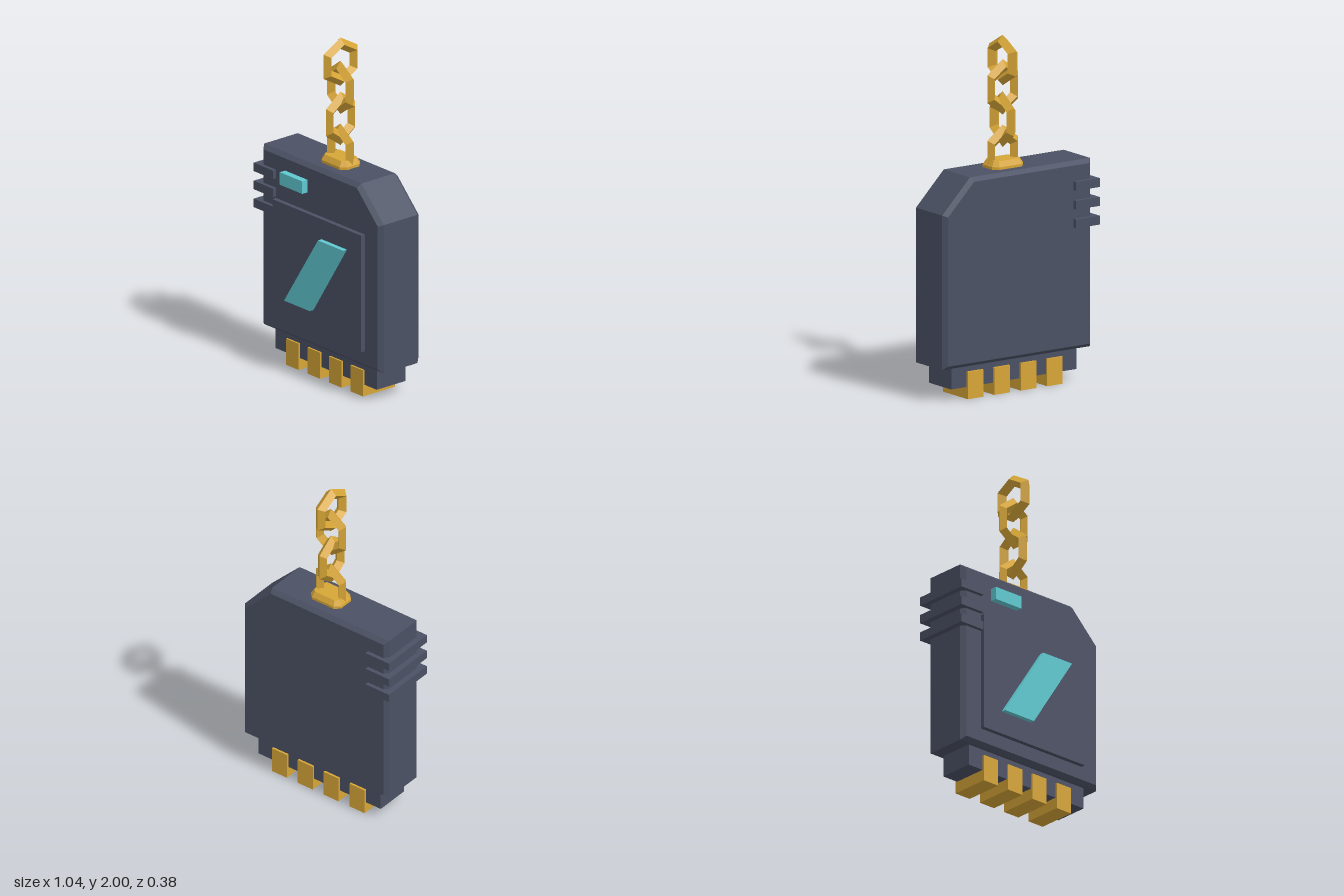
import * as THREE from 'three';

const mat = (name, color) => {
  const m = new THREE.MeshStandardMaterial({ color });
  m.name = name;
  return m;
};

export function createModel() {
  const slate = mat('slate', 0x4b5164);
  const gold = mat('gold', 0xd6a537);
  const teal = mat('teal', 0x5fc8d0);
  const model = new THREE.Group();
  model.name = 'cartridgeCharm';

  const add = (name, geometry, material) => {
    const g = geometry.index ? geometry.toNonIndexed() : geometry;
    g.computeVertexNormals(); // flat facets
    const mesh = new THREE.Mesh(g, material);
    mesh.name = name;
    model.add(mesh);
    return mesh;
  };

  // Box given by its limits on each axis
  const box = (name, material, x0, x1, y0, y1, z0, z1) =>
    add(name, new THREE.BoxGeometry(x1 - x0, y1 - y0, z1 - z0), material)
      .position.set((x0 + x1) / 2, (y0 + y1) / 2, (z0 + z1) / 2);

  // Extruded outline starting at depth 0, with a bevel cut inside the outline
  const slab = (points, depth, size = 0, thickness = 0) => {
    const shape = new THREE.Shape(points.map(([x, y]) => new THREE.Vector2(x, y)));
    return new THREE.ExtrudeGeometry(shape, {
      depth: depth - 2 * thickness, bevelEnabled: size > 0, bevelSegments: 1,
      bevelSize: size, bevelThickness: thickness, bevelOffset: -size,
    }).translate(0, 0, thickness);
  };

  // Casing with one cut corner
  add('casing', slab([[-0.49, 0.19], [0.52, 0.19], [0.52, 1.067], [0.33, 1.258], [-0.49, 1.258]],
    0.297, 0.022, 0.026), slate).position.z = -0.166;

  // Front panel, slanted mark and indicator light
  box('frontPanel', slate, -0.36, 0.39, 0.29, 0.98, 0.1, 0.158);
  add('slantedMark', slab([[-0.23, 0.424], [-0.013, 0.424], [0.27, 0.863], [0.057, 0.863]], 0.037), teal)
    .position.z = 0.149;
  box('indicatorLight', teal, -0.284, -0.094, 1.09, 1.164, 0.1, 0.17);

  // Grip fins wrapping the side
  for (const y of [0.909, 1.015, 1.122]) {
    box('gripFin', slate, -0.524, -0.36, y - 0.025, y + 0.025, -0.189, 0.153);
  }

  // Connector base and contact pins
  box('connectorBase', slate, -0.413, 0.443, 0.067, 0.25, -0.12, 0.09);
  for (let i = 0; i < 4; i++) {
    const x = -0.257 + i * 0.181;
    box('contactPin', gold, x - 0.053, x + 0.053, 0, 0.155, -0.133, 0.101);
  }

  // Chain mount: octagonal plate with sloped rim
  const w = 0.106, d = 0.074, c = 0.03;
  add('chainMount', slab([[-w, -d + c], [-w + c, -d], [w - c, -d], [w, -d + c],
    [w, d - c], [w - c, d], [-w + c, d], [-w, d - c]], 0.1, 0.018, 0.03), gold);
  const mount = model.getObjectByName('chainMount');
  mount.rotation.x = -Math.PI / 2;
  mount.position.set(0.015, 1.203, -0.017);

  // Hexagonal chain links, alternately turned by a quarter
  const links = [
    [1.335, 0.09, 0.031, 1.3], [1.523, 0.09, 0.032, 1.3],
    [1.706, 0.09, 0.031, 1.3], [1.858, 0.109, 0.034, 1],
  ];
  links.forEach(([y, radius, tube, stretch], i) => {
    const g = new THREE.TorusGeometry(radius, tube, 4, 6)
      .rotateZ(Math.PI / 6)
      .scale(1, stretch, 1)
      .rotateY(i % 2 ? Math.PI / 2 : 0);
    add('chainLink', g, gold).position.set(0.015, y, -0.015);
  });

  return model;
}
